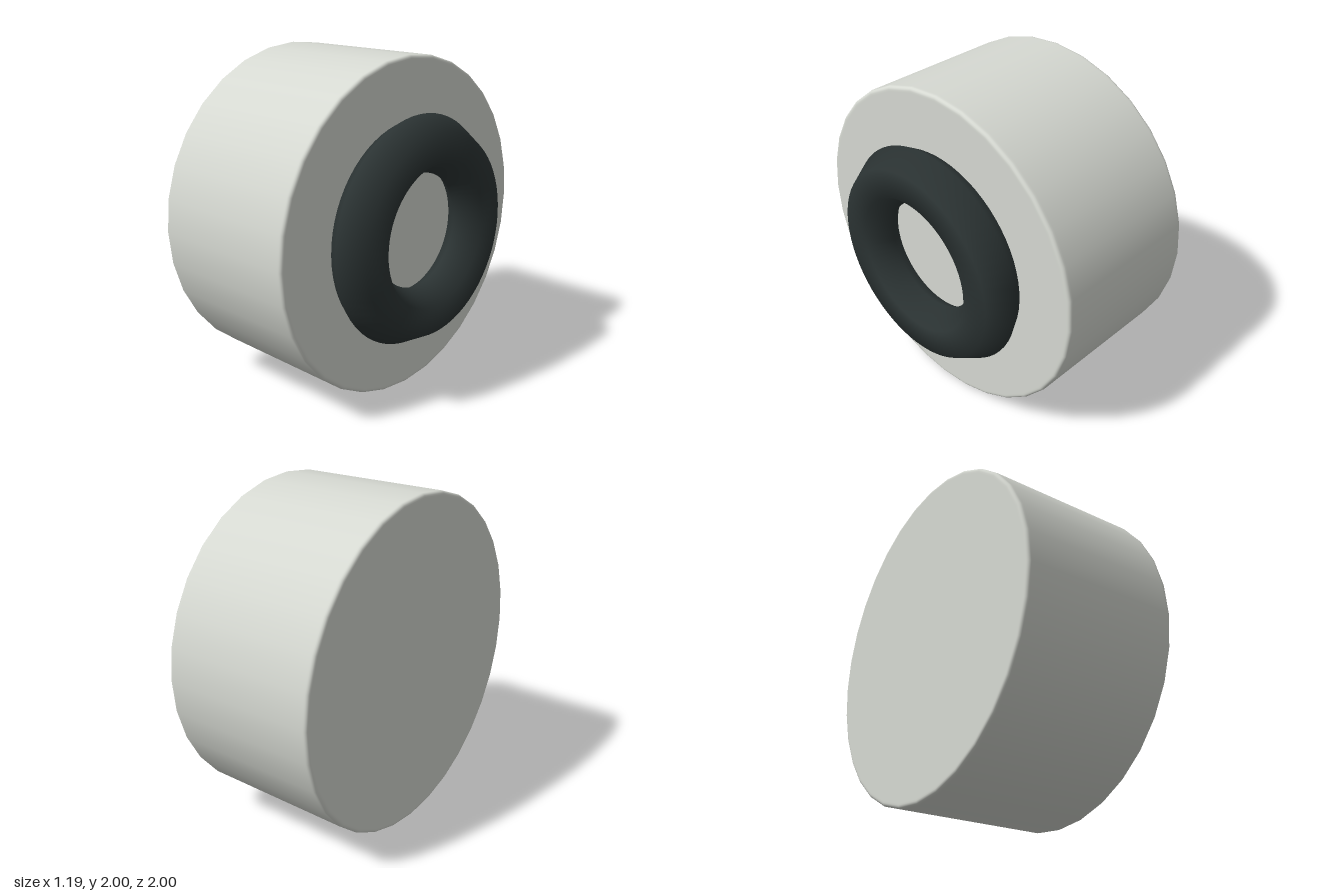
import * as THREE from 'three';

export function createModel() {
  const model = new THREE.Group();
  const add = (name, geometry, color) => {
    const mesh = new THREE.Mesh(geometry, new THREE.MeshStandardMaterial({ color }));
    mesh.name = name;
    model.add(mesh);
    return mesh;
  };

  // Drum body: a disc with small rounded rims, turned so its axis runs along x
  const back = -0.595, front = 0.38, radius = 1, bevel = 0.02;
  const profile = [new THREE.Vector2(0, back), new THREE.Vector2(radius - bevel * 1.5, back)];
  const rim = (y, from) => {
    for (let i = 0; i <= 4; i++) {
      const a = from + (i / 4) * Math.PI / 2;
      profile.push(new THREE.Vector2(radius - bevel + bevel * Math.cos(a), y + bevel * Math.sin(a)));
    }
  };
  rim(back + bevel, -Math.PI / 2);
  // Extra rings keep the wall and end faces evenly shaded
  profile.push(new THREE.Vector2(radius, back + bevel * 1.5));
  profile.push(new THREE.Vector2(radius, front - bevel * 1.5));
  rim(front - bevel, 0);
  profile.push(new THREE.Vector2(radius - bevel * 1.5, front), new THREE.Vector2(0, front));
  const body = new THREE.LatheGeometry(profile, 32).rotateZ(-Math.PI / 2);
  add('drumBody', body, 0xd6d9d2).position.y = 1;

  // Dark ring with a six-sided section, half sunk into the end face
  const ring = new THREE.TorusGeometry(0.51, 0.17, 6, 64).rotateY(Math.PI / 2);
  add('endRing', ring, 0x2b3333).position.set(0.448, 1, 0);

  return model;
}
